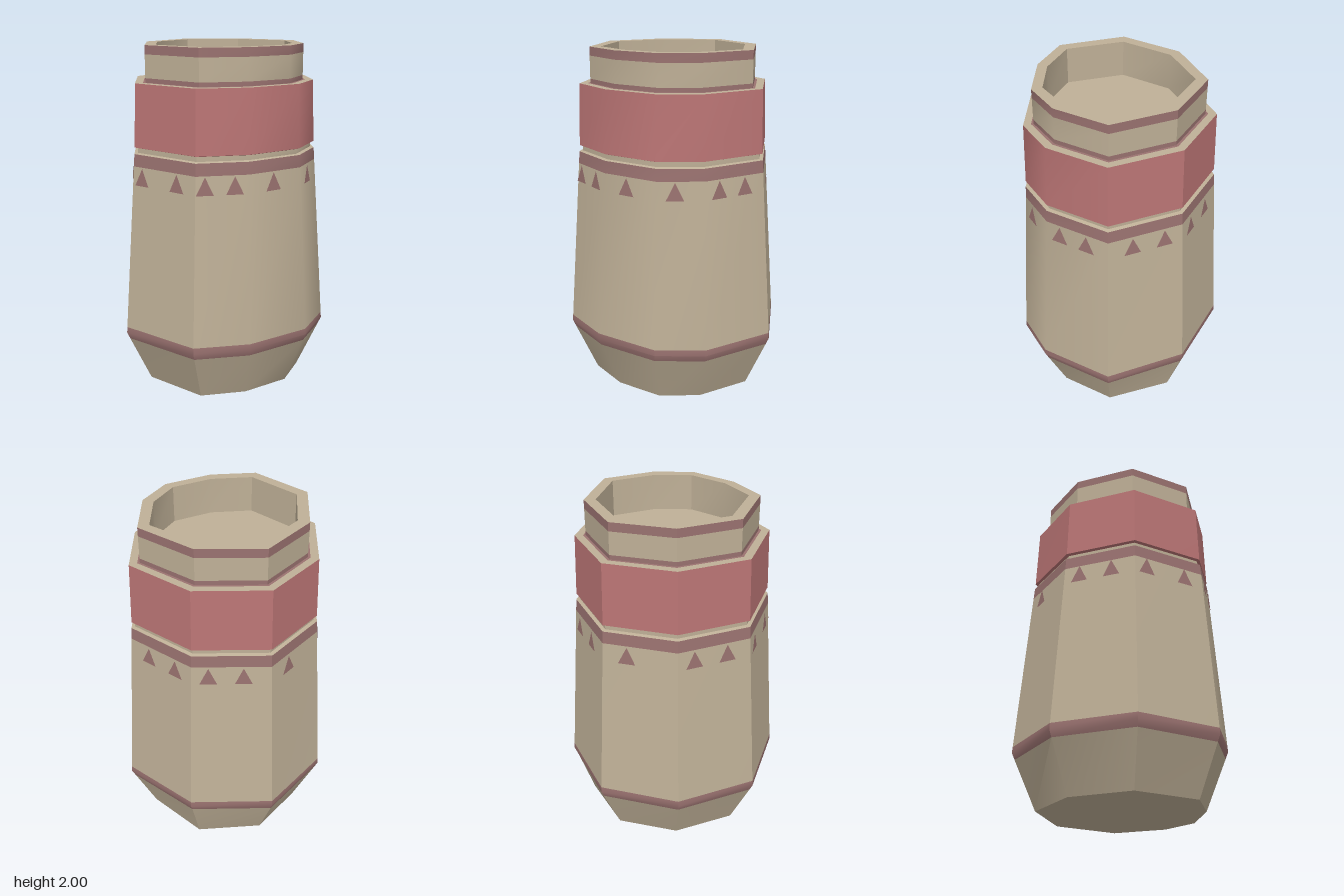
import * as THREE from 'three';
import { toCreasedNormals } from 'three/addons/utils/BufferGeometryUtils.js';

// Uneven nine-sided outline [x, z] at its widest and at the mouth opening
const WIDE = [[0, -0.64], [0.465, -0.485], [0.62, -0.07], [0.565, 0.215], [0.295, 0.505],
  [0, 0.64], [-0.465, 0.45], [-0.62, -0.015], [-0.455, -0.465]];
const NARROW = [[0, -0.42], [0.31, -0.325], [0.4, -0.07], [0.375, 0.14], [0.215, 0.315],
  [0, 0.42], [-0.305, 0.285], [-0.395, -0.015], [-0.298, -0.31]];
const SIDES = WIDE.length;

// Outline corner i at half-width s and height y (s = 0 is the centre)
function corner(i, s, y) {
  i %= SIDES;
  if (s === 0) return new THREE.Vector3(0, y, 0);
  const u = (0.62 - s) / 0.225;
  const x = THREE.MathUtils.lerp(WIDE[i][0], NARROW[i][0], u);
  let z = THREE.MathUtils.lerp(WIDE[i][1], NARROW[i][1], u);
  if (i === 0 && y === 0) z -= 0.03; // the foot juts slightly at the back
  return new THREE.Vector3(x, y, z);
}

// Wraps a profile of [s, y] points around the outline
function wall(profile) {
  const points = [];
  for (let k = 0; k < profile.length - 1; k++) {
    const [s0, y0] = profile[k], [s1, y1] = profile[k + 1];
    for (let i = 0; i < SIDES; i++) {
      const a = corner(i, s0, y0), b = corner(i + 1, s0, y0);
      const c = corner(i, s1, y1), d = corner(i + 1, s1, y1);
      if (s0 > 0) points.push(a, c, b);
      if (s1 > 0) points.push(b, c, d);
    }
  }
  const geometry = new THREE.BufferGeometry().setFromPoints(points);
  return toCreasedNormals(geometry, 0.61);
}

// Half-width of the tapering body at height y
const bodyWidth = (y) => 0.62 - 0.0748 * (y - 0.33);

// Painted triangle on side i, f of the way along it
function triangleMark(i, f) {
  const at = (g, y, lift) => {
    const a = corner(i, bodyWidth(y), y), b = corner(i + 1, bodyWidth(y), y);
    const out = new THREE.Vector3(a.z - b.z, 0, b.x - a.x).normalize().negate();
    return a.lerp(b, g).addScaledVector(out, lift);
  };
  const length = corner(i, 0.55, 0).distanceTo(corner(i + 1, 0.55, 0));
  const w = 0.049 / length;
  const geometry = new THREE.BufferGeometry().setFromPoints(
    [at(f - w, 1.225, 0.006), at(f, 1.326, 0.009), at(f + w, 1.225, 0.006)]);
  geometry.computeVertexNormals();
  return geometry;
}

export function createModel() {
  const group = new THREE.Group();
  const material = (name, color, side = THREE.FrontSide) => {
    const m = new THREE.MeshStandardMaterial({ color, side });
    m.name = name;
    return m;
  };
  const clay = material('clay', 0xbfb097);
  const red = material('red glaze', 0xbb7575);
  const rose = material('rose paint', 0x9a7270, THREE.DoubleSide);

  const add = (name, geometry, mat) => {
    const mesh = new THREE.Mesh(geometry, mat);
    mesh.name = name;
    group.add(mesh);
  };

  // Body
  add('foot', wall([[0, 0], [0.47, 0], [0.602, 0.29]]), clay);
  add('shoulderBand', wall([[0.602, 0.29], [0.62, 0.33], [bodyWidth(0.365), 0.365]]), rose);
  add('body', wall([[bodyWidth(0.365), 0.365], [bodyWidth(1.33), 1.33]]), clay);
  add('bodyTopBand', wall([[bodyWidth(1.33), 1.33], [0.54, 1.4]]), rose);
  add('groove', wall([[0.54, 1.4], [0.518, 1.405], [0.518, 1.432]]), clay);

  // Collar
  add('collar', wall([[0.518, 1.432], [0.537, 1.437], [0.525, 1.795]]), red);
  add('collarTop', wall([[0.525, 1.795], [0.477, 1.795]]), clay);

  // Neck
  add('neckBaseBand', wall([[0.477, 1.795], [0.462, 1.795], [0.462, 1.82]]), rose);
  add('neck', wall([[0.462, 1.82], [0.462, 1.95]]), clay);
  add('neckTopBand', wall([[0.462, 1.95], [0.462, 2]]), rose);
  add('mouth', wall([[0.462, 2], [0.395, 2], [0.395, 1.79], [0, 1.79]]), clay);

  // Row of triangles: [side, fraction along the side]
  const marks = [[0, 0.25], [0, 0.68], [1, 0.34], [1, 0.77], [2, 0.61], [3, 0.55], [4, 0.275],
    [4, 0.83], [5, 0.28], [5, 0.84], [6, 0.33], [6, 0.78], [7, 0.67], [8, 0.35], [8, 0.79]];
  marks.forEach(([i, f]) => add('triangleMark', triangleMark(i, f), rose));

  return group;
}
